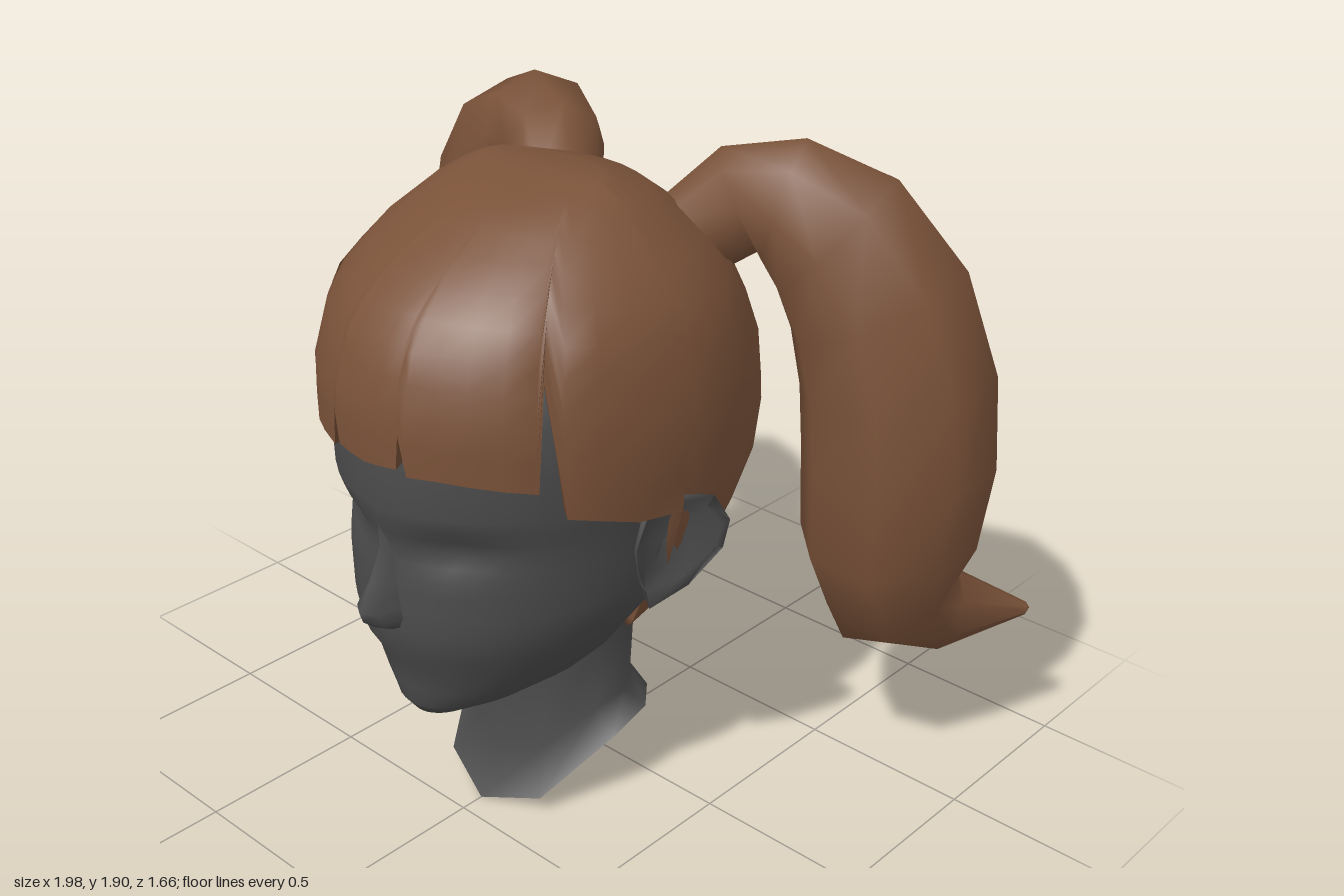
import * as THREE from 'three';

const V = (x, y, z) => new THREE.Vector3(x, y, z);
const skin = new THREE.MeshStandardMaterial({ color: 0x4b4b4b, side: THREE.DoubleSide });
skin.name = 'charcoal skin';
const hair = new THREE.MeshStandardMaterial({ color: 0x7a5239, side: THREE.DoubleSide });
hair.name = 'brown hair';

// Smooth skin over a series of rings with equal point counts
function loft(rings, closed = true) {
  const n = rings[0].length, index = [];
  for (let i = 0; i < rings.length - 1; i++) {
    for (let j = 0; j < (closed ? n : n - 1); j++) {
      const k = (j + 1) % n, a = i * n + j, b = i * n + k;
      index.push(a, b, b + n, a, b + n, a + n);
    }
  }
  const g = new THREE.BufferGeometry().setFromPoints(rings.flat());
  g.setIndex(index);
  g.computeVertexNormals();
  return g;
}
const mirror = rings => rings.map(r => r.map(p => V(-p.x, p.y, p.z)).reverse());
// Complete a half ring (front to back) with its mirror image
const wholeRing = half => [...half, ...half.slice(1, -1).reverse().map(p => V(-p.x, p.y, p.z))];
const point = (n, x, y, z) => Array.from({ length: n }, () => V(x, y, z));

// Linear lookup in a table whose first column is y, ascending
function slice(table, y) {
  let i = 0;
  while (i < table.length - 2 && table[i + 1][0] < y) i++;
  const a = table[i], b = table[i + 1];
  const t = THREE.MathUtils.clamp((y - a[0]) / (b[0] - a[0]), 0, 1);
  return a.map((v, k) => v + (b[k] - v) * t);
}

function headRings() {
  // y, half width, front z, widest z, back z
  const table = [
    [0.42, 0.09, 0.645, 0.52, 0.45], [0.46, 0.18, 0.675, 0.4, 0.34], [0.52, 0.26, 0.685, 0.33, 0.25],
    [0.6, 0.33, 0.7, 0.27, 0.15], [0.66, 0.365, 0.735, 0.25, 0.1], [0.74, 0.41, 0.745, 0.22, -0.05],
    [0.85, 0.435, 0.74, 0.2, -0.2], [0.97, 0.45, 0.735, 0.2, -0.35], [1.04, 0.46, 0.755, 0.2, -0.38],
    [1.1, 0.47, 0.765, 0.2, -0.4], [1.22, 0.48, 0.765, 0.2, -0.4], [1.35, 0.48, 0.75, 0.2, -0.38],
    [1.5, 0.44, 0.68, 0.2, -0.3]];
  const levels = [0.42, 0.44, 0.46, 0.52, 0.6, 0.66, 0.74, 0.8, 0.86, 0.9, 0.94, 0.98, 1.02, 1.06, 1.1, 1.22, 1.35, 1.5];
  const n = 44;
  const rings = levels.map(y => {
    const [, w, zf, zm, zb] = slice(table, y);
    return Array.from({ length: n }, (_, j) => {
      const a = j / n * Math.PI * 2, c = Math.cos(a), x = w * Math.sin(a);
      let z = zm + c * (c > 0 ? zf - zm : zm - zb);
      // eye sockets
      if (c > 0) z -= 0.04 * Math.exp(-(((Math.abs(x) - 0.2) / 0.11) ** 2) - ((y - 0.99) / 0.055) ** 2);
      return V(x, y, z);
    });
  });
  return [point(n, 0, 0.41, 0.57), ...rings, point(n, 0, 1.6, 0.2)];
}

function noseRings() {
  // y, half width, ridge z
  return [[0.73, 0.055, 0.73], [0.745, 0.07, 0.785], [0.775, 0.075, 0.82], [0.805, 0.065, 0.83],
    [0.88, 0.05, 0.79], [0.97, 0.04, 0.752], [1.05, 0.04, 0.752]].map(([y, w, z]) =>
    [V(-w, y, 0.69), V(-w * 0.6, y, z - 0.025), V(0, y, z), V(w * 0.6, y, z - 0.025), V(w, y, 0.69)]);
}

function earRings() {
  const rim = [V(0.45, 0.93, 0.28), V(0.44, 0.82, 0.25), V(0.43, 0.72, 0.2), V(0.52, 0.81, 0.15),
    V(0.59, 0.93, 0.1), V(0.61, 1.02, 0.1), V(0.58, 1.09, 0.13), V(0.53, 1.1, 0.2), V(0.48, 1.05, 0.27)].reverse();
  rim.reverse();
  const toward = (k, x) => rim.map(p => V(x(p), 0.94 + (p.y - 0.94) * k, 0.19 + (p.z - 0.19) * k));
  return [toward(0.75, () => 0.41), rim, toward(0.8, p => p.x - 0.012), toward(0.45, p => p.x * 0.5 + 0.225),
    point(rim.length, 0.47, 0.94, 0.2)];
}

function neckRings() {
  const rim = wholeRing([V(0, 0.005, 0.43), V(0.18, 0.06, 0.37), V(0.29, 0.23, 0.18), V(0.3, 0.28, 0.06),
    V(0.2, 0.25, -0.06), V(0, 0.21, -0.135)]);
  const base = wholeRing([V(0, 0.14, 0.345), V(0.14, 0.19, 0.3), V(0.22, 0.29, 0.18), V(0.23, 0.31, 0.07),
    V(0.16, 0.32, -0.03), V(0, 0.34, -0.065)]);
  const upper = wholeRing([V(0, 0.45, 0.36), V(0.15, 0.47, 0.32), V(0.23, 0.5, 0.2), V(0.24, 0.5, 0.07),
    V(0.17, 0.5, -0.03), V(0, 0.5, -0.065)]);
  return [rim, base, upper, upper.map(p => V(p.x, 0.75, p.z))];
}

// Hair cap: angle (degrees from the front) and height of the cut edge
function capRings() {
  const table = [ // y, half width, front z, back z
    [0.57, 0.29, 0.5, -0.09], [0.7, 0.4, 0.6, -0.24], [0.85, 0.48, 0.68, -0.37], [1.06, 0.54, 0.76, -0.46],
    [1.22, 0.555, 0.785, -0.48], [1.37, 0.55, 0.79, -0.45], [1.56, 0.51, 0.73, -0.35],
    [1.68, 0.42, 0.6, -0.25], [1.8, 0.29, 0.38, -0.08], [1.84, 0.2, 0.2, 0.06]];
  const edge = [[0, 1.225], [6, 1.23], [11, 1.235], [12.3, 1.33], [14, 1.22], [22, 1.225], [30, 1.22], [39, 1.21],
    [47, 1.2], [48.5, 1.48], [53.5, 1.12], [62, 1.1], [72, 1.07], [85, 1.055], [88, 0.63], [97, 0.57],
    [110, 0.57], [125, 0.575], [140, 0.58], [153, 0.585], [167, 0.59], [180, 0.59]];
  const rows = 12, rings = [];
  for (let i = 0; i <= rows; i++) {
    rings.push(wholeRing(edge.map(([deg, y0]) => {
      const y = y0 + (1.84 - y0) * Math.sin(i / rows * Math.PI / 2);
      const [, w, zf, zb] = slice(table, y);
      const a = deg * Math.PI / 180, c = Math.cos(a), zm = 0.15;
      return V(deg === 180 ? 0 : w * Math.sin(a), y, zm + c * (c > 0 ? zf - zm : zm - zb));
    })));
  }
  rings.push(point(rings[0].length, 0, 1.842, 0.14));
  return rings;
}

function ponytailRings() {
  // centre x, y, z and radius, from the root to the tip
  const path = [[0.22, 1.61, -0.14, 0.12], [0.34, 1.73, -0.24, 0.145], [0.44, 1.735, -0.29, 0.175],
    [0.56, 1.66, -0.35, 0.22], [0.67, 1.49, -0.4, 0.25], [0.73, 1.27, -0.43, 0.265], [0.745, 1.05, -0.44, 0.265],
    [0.735, 0.8, -0.44, 0.245], [0.74, 0.63, -0.47, 0.2], [0.82, 0.53, -0.62, 0.125], [0.975, 0.5, -0.82, 0.02]];
  const c = path.map(p => V(p[0], p[1], p[2])), side = V(0.39, 0, 0.92), n = 8;
  const rings = path.map((p, i) => {
    const t = c[Math.min(i + 1, c.length - 1)].clone().sub(c[Math.max(i - 1, 0)]).normalize();
    const u = side.clone().addScaledVector(t, -side.dot(t)).normalize();
    const v = t.clone().cross(u);
    return Array.from({ length: n }, (_, j) => {
      const a = j / n * Math.PI * 2;
      return c[i].clone().addScaledVector(u, Math.cos(a) * p[3]).addScaledVector(v, Math.sin(a) * p[3]);
    });
  });
  rings.push(point(n, 0.985, 0.5, -0.83));
  return rings;
}

export function createModel() {
  const model = new THREE.Group();
  const add = (name, geometry, material) => {
    const m = new THREE.Mesh(geometry, material);
    m.name = name;
    model.add(m);
  };

  // Head and neck
  add('head', loft(headRings()), skin);
  add('nose', loft(noseRings(), false), skin);
  const neck = neckRings();
  add('neck', loft(neck), skin);
  add('neckBase', loft([point(neck[0].length, 0, 0.14, 0.09), neck[0]]), skin);

  // Hair cap with fringe, and the turned-in edge that gives it thickness
  const cap = capRings();
  add('hairCap', loft(cap), hair);
  const inner = cap[0].map(p => V(p.x * 0.87, p.y + 0.015, 0.15 + (p.z - 0.15) * 0.9));
  add('hairEdge', loft([inner, cap[0]]), hair);

  // Ears and ponytails on both sides
  const ear = earRings(), tail = ponytailRings();
  add('leftEar', loft(ear), skin);
  add('rightEar', loft(mirror(ear)), skin);
  add('leftPonytail', loft(tail), hair);
  add('rightPonytail', loft(mirror(tail)), hair);
  return model;
}
